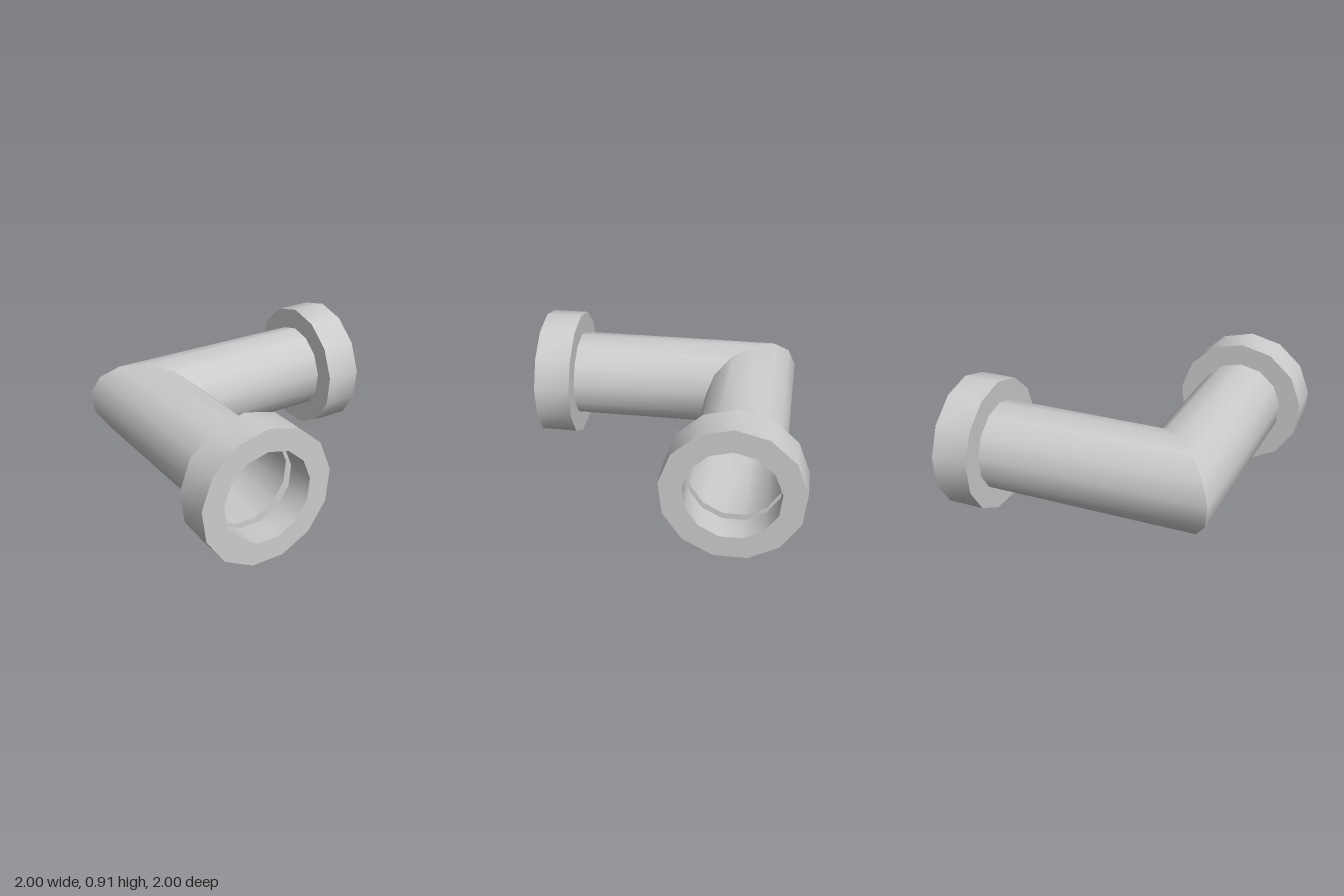
import * as THREE from 'three';
import { toCreasedNormals } from 'three/addons/utils/BufferGeometryUtils.js';

const SIDES = 13;
const AXIS_Y = 0.448;   // height of both pipe axes
const AXIS = -0.545;    // offset of each axis from the centre
const PIPE_R = 0.31, FLANGE_R = 0.4615;
const BACK = 0.743, FACE = 1, LIP = 0.8;

const material = new THREE.MeshStandardMaterial({ color: 0xcccccc, side: THREE.DoubleSide });

// One ring of points; place(d, y) turns a sideways offset and height into a point
function ring(radius, place) {
  return Array.from({ length: SIDES }, (_, j) => {
    const a = (j / SIDES) * Math.PI * 2;
    return place(AXIS + radius * Math.sin(a), AXIS_Y + radius * Math.cos(a));
  });
}
const zRing = (r, z) => ring(r, (d, y) => [d, y, z]);
const xRing = (r, x) => ring(r, (d, y) => [x, y, d]);

// Skin a list of rings into a mesh with creased normals
function loft(name, rings) {
  const index = [];
  for (let i = 0; i < rings.length - 1; i++) {
    for (let j = 0; j < SIDES; j++) {
      const k = (j + 1) % SIDES;
      const a = i * SIDES + j, b = i * SIDES + k;
      index.push(a, a + SIDES, b + SIDES, a, b + SIDES, b);
    }
  }
  const geometry = new THREE.BufferGeometry();
  geometry.setAttribute('position', new THREE.Float32BufferAttribute(rings.flat(2), 3));
  geometry.setIndex(index);
  const mesh = new THREE.Mesh(toCreasedNormals(geometry, Math.PI / 6), material);
  mesh.name = name;
  return mesh;
}

export function createModel() {
  const group = new THREE.Group();
  group.name = 'pipeElbow';

  // Thin open pipe, mitred at the corner on the plane x = z
  group.add(loft('elbowPipe', [
    xRing(PIPE_R, BACK),
    ring(PIPE_R, (d, y) => [d, y, d]),
    zRing(PIPE_R, BACK),
  ]));

  // Hollow collars: back, rim, face, and a short inner lip that stops before the pipe
  const profile = [
    [PIPE_R, BACK], [FLANGE_R, BACK], [FLANGE_R, FACE], [PIPE_R, FACE], [PIPE_R, LIP],
  ];
  group.add(loft('frontFlange', profile.map(([r, p]) => zRing(r, p))));
  group.add(loft('leftFlange', profile.map(([r, p]) => xRing(r, p)).reverse()));

  return group;
}
